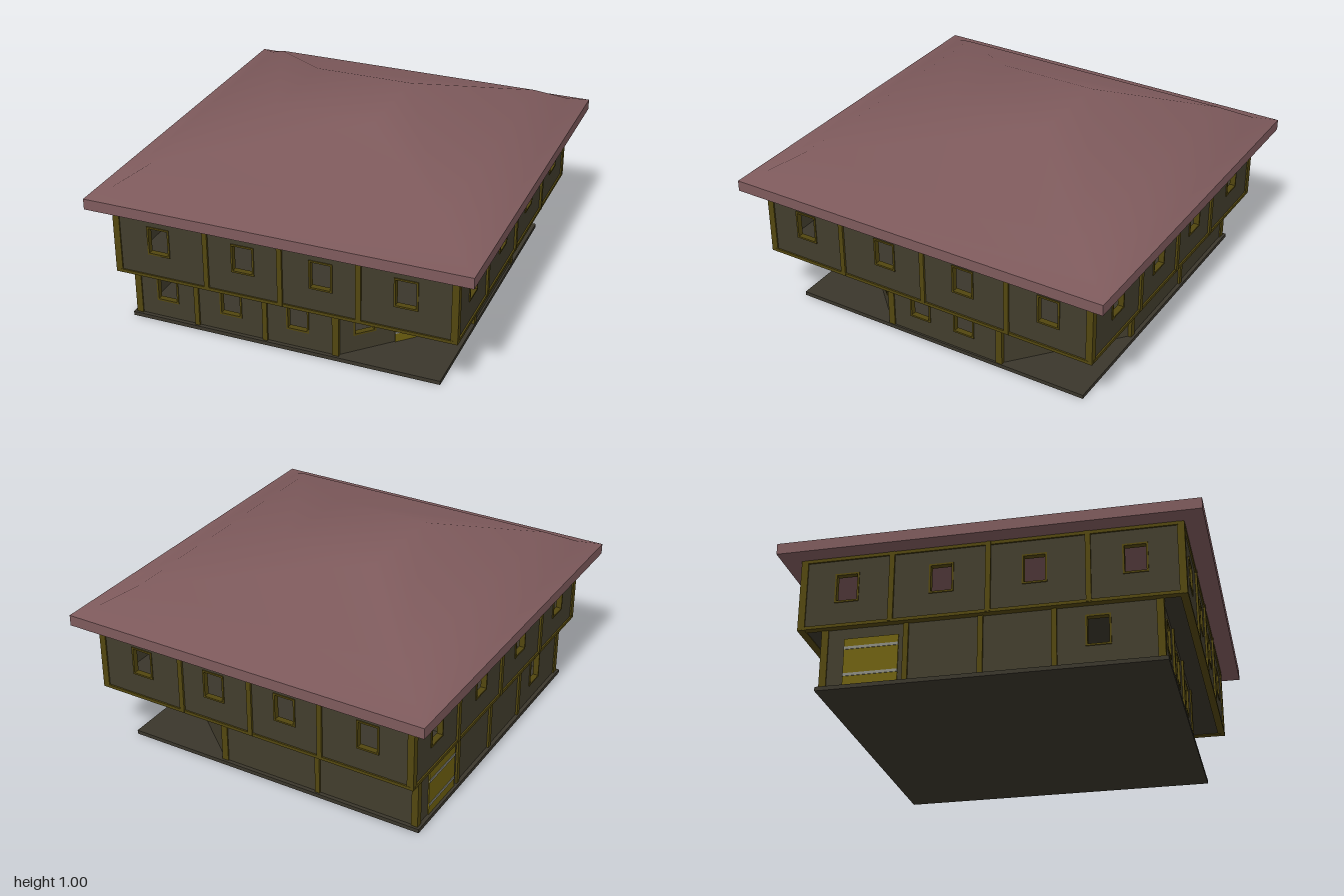
import * as THREE from 'three';

const mat = (color) => new THREE.MeshStandardMaterial({ color });
const WALL = mat(0x423d2d), TRIM = mat(0x52460f), DOOR = mat(0x6e6010);
const BASE = mat(0x3a362b), STRIPE = mat(0x8a8a80), ROOF = mat(0x7e5a5c);
const T = 0.02; // wall thickness

function box(parent, name, material, size, pos) {
  const m = new THREE.Mesh(new THREE.BoxGeometry(...size), material);
  m.position.set(...pos);
  m.name = name;
  parent.add(m);
  return m;
}

function rectPath(Type, x0, x1, y0, y1) {
  const p = new Type();
  p.moveTo(x0, y0).lineTo(x1, y0).lineTo(x1, y1).lineTo(x0, y1).closePath();
  return p;
}

function extrude(parent, name, material, shape, depth) {
  const g = new THREE.ExtrudeGeometry(shape, { depth, bevelEnabled: false });
  g.translate(0, 0, -depth / 2);
  const m = new THREE.Mesh(g, material);
  m.name = name;
  parent.add(m);
}

// Panelled door with two cross bands
function addDoor(parent, t, w, y0, h) {
  box(parent, 'door', DOOR, [w, h, T + 0.012], [t, y0 + h / 2, 0]);
  for (const f of [0.23, 0.8])
    box(parent, 'doorBand', STRIPE, [w, 0.014, T + 0.018], [t, y0 + h * f, 0]);
}

// Wall from a to b ([x, z], counterclockwise from above) with window holes, frames, doors and posts
function addWall(parent, name, a, b, y0, y1, { windows = [], doors = [], posts = [], beams = false } = {}) {
  const g = new THREE.Group();
  g.name = name;
  const dx = b[0] - a[0], dz = b[1] - a[1], len = Math.hypot(dx, dz);
  g.position.set(a[0], 0, a[1]);
  g.rotation.y = Math.atan2(-dz, dx);
  const shape = rectPath(THREE.Shape, 0, len, y0, y1);
  for (const [t, w, lo, hi] of windows) {
    shape.holes.push(rectPath(THREE.Path, t - w / 2, t + w / 2, lo, hi));
    const e = 0.006;
    const frame = rectPath(THREE.Shape, t - w / 2 - e, t + w / 2 + e, lo - e, hi + e);
    frame.holes.push(rectPath(THREE.Path, t - w / 2 + e / 2, t + w / 2 - e / 2, lo + e / 2, hi - e / 2));
    extrude(g, 'windowFrame', TRIM, frame, T + 0.01);
  }
  extrude(g, 'wallPanel', WALL, shape, T);
  for (const [t, w] of doors) addDoor(g, t, w, y0, 0.235);
  for (const t of posts) box(g, 'post', TRIM, [0.025, y1 - y0, T + 0.022], [t, (y0 + y1) / 2, 0]);
  if (beams) for (const y of [y0 + 0.004, y1 - 0.008])
    box(g, 'beam', TRIM, [len, 0.016, T + 0.016], [len / 2, y, 0]);
  parent.add(g);
}

// Low hipped roof lofted through rectangles [x0, x1, half depth, y]
function hippedRoof() {
  const rings = [
    [-0.96, 0.96, 1.0, 0.725], [-0.86, 0.86, 0.9, 0.76],
    [-0.73, 0.72, 0.76, 0.84], [-0.3, 0.21, 0.255, 1.0],
  ];
  const pos = [], idx = [];
  for (const [x0, x1, z, y] of rings) pos.push(x0, y, z, x1, y, z, x1, y, -z, x0, y, -z);
  for (let r = 0; r < rings.length - 1; r++)
    for (let i = 0; i < 4; i++) {
      const p = r * 4 + i, q = r * 4 + ((i + 1) % 4);
      idx.push(p, q, q + 4, p, q + 4, p + 4);
    }
  const k = (rings.length - 1) * 4;
  idx.push(k, k + 1, k + 2, k, k + 2, k + 3);
  const g = new THREE.BufferGeometry();
  g.setAttribute('position', new THREE.Float32BufferAttribute(pos, 3));
  g.setIndex(idx);
  g.computeVertexNormals();
  return g;
}

export function createModel() {
  const house = new THREE.Group();
  house.name = 'house';
  box(house, 'baseSlab', BASE, [1.61, 0.02, 1.62], [-0.045, 0.01, 0]);

  // Ground floor: two corners cut off diagonally
  const ground = new THREE.Group();
  ground.name = 'groundFloor';
  house.add(ground);
  const G = [[-0.82, 0.78], [0.23, 0.78], [0.74, 0.27], [0.74, -0.35], [0.23, -0.78], [-0.82, -0.78]];
  const win = (t, w = 0.105) => [t, w, 0.115, 0.255];
  const vent = (t) => [t, 0.11, 0.22, 0.255];
  const groundWalls = [
    ['frontWall', { windows: [win(0.16), win(0.503), win(0.855)], posts: [0.32, 0.685] }],
    ['porchWall', { windows: [win(0.14), win(0.55)], doors: [[0.354, 0.11]] }],
    ['leftWall', { windows: [win(0.17), win(0.42)] }],
    ['backCornerWall', {}],
    ['backWall', { windows: [vent(0.24), vent(0.78)], posts: [0.53] }],
    ['rightWall', { windows: [win(1.28)], doors: [[0.225, 0.26]], posts: [0.39, 0.74, 1.08] }],
  ];
  groundWalls.forEach(([name, parts], i) =>
    addWall(ground, name, G[i], G[(i + 1) % G.length], 0.02, 0.31, parts));
  for (const [x, z] of G) box(ground, 'cornerPost', TRIM, [0.034, 0.29, 0.034], [x, 0.165, z]);

  // Inner stair rising towards the back
  for (let i = 0; i < 10; i++)
    box(ground, 'stairStep', DOOR, [0.16, 0.04, 0.08], [0.15, 0.04 + i * 0.027, 0.38 - i * 0.07]);

  // Overhanging upper floor
  const upper = new THREE.Group();
  upper.name = 'upperFloor';
  house.add(upper);
  box(upper, 'floorSlab', BASE, [1.7, 0.015, 1.78], [0, 0.3175, 0]);
  const X = 0.85, Z = 0.89;
  const U = [[-X, Z], [X, Z], [X, -Z], [-X, -Z]];
  const wx = [-0.63, -0.19, 0.203, 0.618], px = [-0.38, 0, 0.39];
  const wz = [0.68, 0.217, -0.222, -0.677], pz = [0.465, 0, -0.46];
  const spans = [
    ['upperFront', wx, px, (v) => v + X], ['upperLeft', wz, pz, (v) => Z - v],
    ['upperBack', wx, px, (v) => X - v], ['upperRight', wz, pz, (v) => v + Z],
  ];
  spans.forEach(([name, w, p, at], i) =>
    addWall(upper, name, U[i], U[(i + 1) % 4], 0.31, 0.67, {
      windows: w.map((v) => [at(v), 0.105, 0.44, 0.578]), posts: p.map(at), beams: true,
    }));
  for (const [x, z] of U) box(upper, 'cornerPost', TRIM, [0.034, 0.365, 0.034], [x, 0.4875, z]);

  // Inner rooms with doors onto the corridor
  const I = [[-0.84, 0.45], [0.42, 0.45], [0.42, -0.45], [-0.84, -0.45]];
  addWall(upper, 'innerFrontWall', I[0], I[1], 0.325, 0.67, { doors: [[0.72, 0.1], [1.1, 0.1]] });
  addWall(upper, 'innerSideWall', I[1], I[2], 0.325, 0.67, { doors: [[0.15, 0.1], [0.75, 0.1]] });
  addWall(upper, 'innerBackWall', I[2], I[3], 0.325, 0.67, { doors: [[0.16, 0.1], [0.54, 0.1]] });

  // Roof
  box(house, 'roofFascia', ROOF, [1.92, 0.055, 2], [0, 0.6975, 0]);
  const roof = new THREE.Mesh(hippedRoof(), ROOF);
  roof.name = 'roof';
  house.add(roof);
  return house;
}
